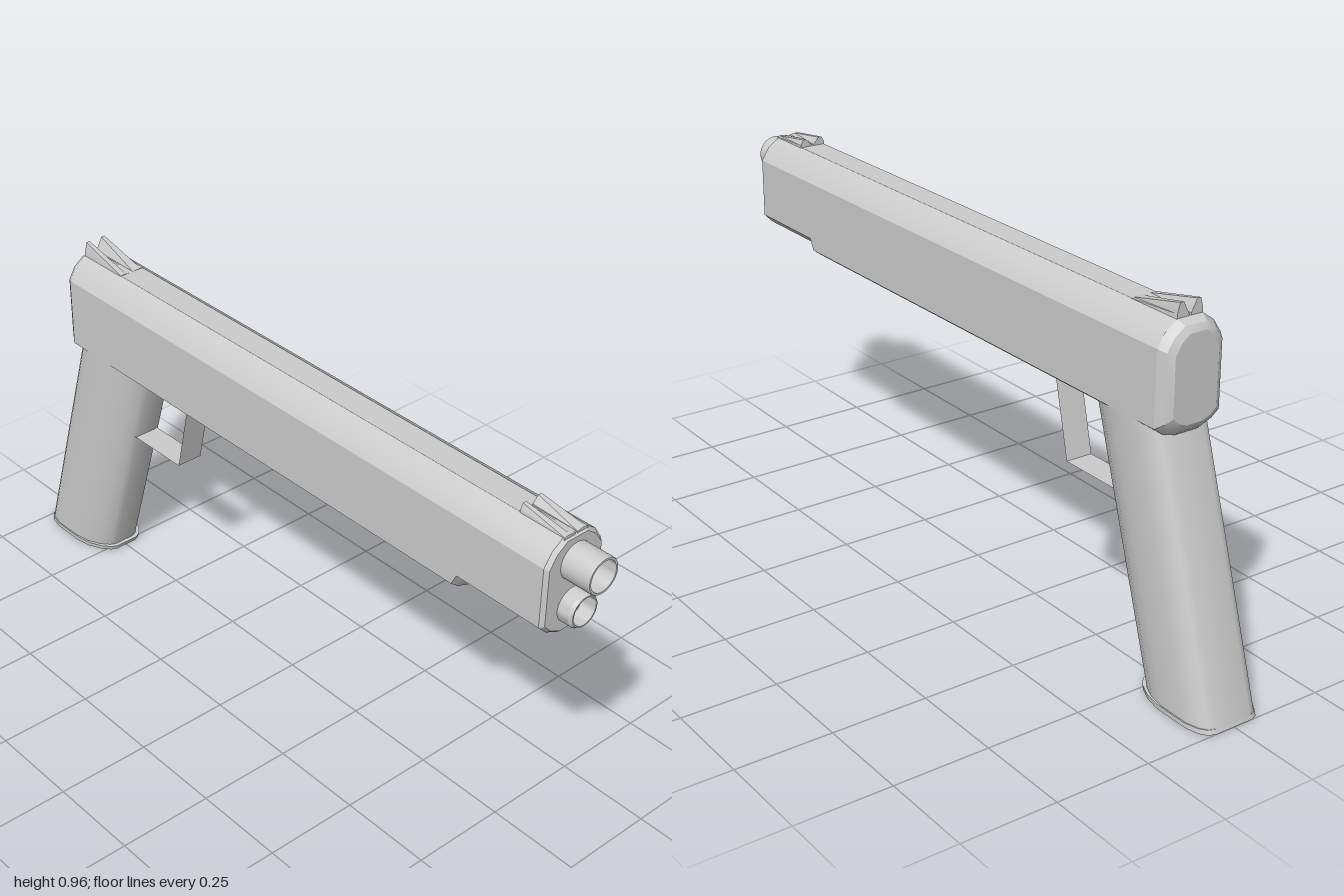
import * as THREE from 'three';
import { toCreasedNormals } from 'three/addons/utils/BufferGeometryUtils.js';

const material = new THREE.MeshStandardMaterial({ color: 0xcccccc });
const thin = new THREE.MeshStandardMaterial({ color: 0xcccccc, side: THREE.DoubleSide });

// Skin a row of equal-length convex rings (counterclockwise seen from the last one) and cap both ends.
function loft(rings, crease) {
  const n = rings[0].length, index = [];
  for (let i = 0; i < rings.length - 1; i++) {
    for (let j = 0; j < n; j++) {
      const k = (j + 1) % n, a = i * n, b = a + n;
      index.push(a + j, a + k, b + k, a + j, b + k, b + j);
    }
  }
  const last = (rings.length - 1) * n;
  for (let j = 1; j < n - 1; j++) index.push(0, j + 1, j, last, last + j, last + j + 1);
  const geometry = new THREE.BufferGeometry();
  geometry.setAttribute('position', new THREE.Float32BufferAttribute(rings.flat(2), 3));
  geometry.setIndex(index);
  return toCreasedNormals(geometry, crease);
}

// Body cross-section at x: bottom height, height of the lower side edge, inset for rounded ends.
function bodyRing(x, bottom, side, inset = 0) {
  const half = [[0.033, bottom], [0.066, bottom + (side - bottom) * 0.4], [0.09, side],
    [0.09, 0.868], [0.068, 0.902], [0.035, 0.925]];
  const s = 1 - inset / 0.09, mid = 0.79, t = 1 - inset / 0.135;
  const right = half.map(([w, y]) => [x, mid + (y - mid) * t, -w * s]);
  const left = right.map(([px, y, z]) => [px, y, -z]).reverse();
  return [...right, ...left];
}

// Grip outline at height y, leaning forward as it rises.
function gripRing(y, grow = 0) {
  const half = [[-0.13, 0.05], [-0.123, 0.068], [-0.105, 0.081], [-0.07, 0.09], [0.015, 0.09],
    [0.06, 0.081], [0.095, 0.065], [0.118, 0.045], [0.125, 0.03]];
  const cx = -0.87 + y * 0.315;
  const front = half.map(([x, z]) => [cx + x + (x > 0 ? grow * 4 : 0), y, z + grow]);
  return [...front, ...front.map(([x, py, z]) => [x, py, -z]).reverse()];
}

export function createModel() {
  const model = new THREE.Group();
  const add = (name, geometry, parent = model, mat = material) => {
    const mesh = new THREE.Mesh(geometry, mat);
    mesh.name = name;
    parent.add(mesh);
    return mesh;
  };

  // Long body, rounded at the rear and stepped up under the muzzle
  add('body', loft([
    bodyRing(-0.82, 0.655, 0.685, 0.028),
    bodyRing(-0.81, 0.655, 0.685, 0.012),
    bodyRing(-0.79, 0.65, 0.68),
    bodyRing(0.645, 0.65, 0.68),
    bodyRing(0.66, 0.67, 0.71),
    bodyRing(0.91, 0.67, 0.71),
    bodyRing(0.92, 0.67, 0.71, 0.008),
  ], 0.4));

  // Raked grip with a thin base plate
  add('grip', loft([gripRing(0.01), gripRing(0.69)], 0.6));
  add('basePlate', loft([gripRing(0, 0.003), gripRing(0.012, 0.003)], 0.6));

  // Trigger guard: one thin folded strip
  const path = [[-0.61, 0.445], [-0.418, 0.445], [-0.368, 0.66]];
  const strip = new THREE.BufferGeometry();
  strip.setAttribute('position', new THREE.Float32BufferAttribute(
    path.flatMap(([x, y]) => [x, y, 0.037, x, y, -0.037]), 3));
  strip.setIndex([0, 2, 1, 1, 2, 3, 2, 4, 3, 3, 4, 5]);
  add('triggerGuard', toCreasedNormals(strip, 0.4), model, thin);

  // Hollow muzzle tubes
  const tube = (name, y, end, outer, inner, bevel) => {
    const depth = 0.06, start = 0.9;
    const profile = [[outer, start], [outer, end - bevel], [outer - bevel * 0.6, end],
      [inner, end], [inner, end - depth], [0, end - depth]];
    const geometry = toCreasedNormals(new THREE.LatheGeometry(
      profile.map(([r, h]) => new THREE.Vector2(r, h)), 28), 0.5);
    geometry.rotateZ(-Math.PI / 2);
    add(name, geometry, model, thin).position.y = y;
  };
  tube('barrel', 0.855, 1.0, 0.047, 0.04, 0.003);
  tube('lowerTube', 0.738, 0.96, 0.045, 0.036, 0.009);

  // Sights: a mirrored pair of blades that slope down toward the muzzle
  const sight = (name, x0, x1, y0, y1) => {
    const group = new THREE.Group();
    group.name = name;
    model.add(group);
    for (const side of [-1, 1]) {
      const ring = (x, top) => {
        const pts = [[0.002, 0.915], [0.037, 0.915], [0.036, 0.925 + (top - 0.925) * 0.3],
          [0.029, top], [0.019, top], [0.003, 0.925 + (top - 0.925) * 0.15]];
        const out = pts.map(([z, y]) => [x, y, z * side]);
        return side > 0 ? out.reverse() : out;
      };
      add('sightBlade', loft([ring(x0, y0), ring(x1, y1)], 0.3), group);
    }
  };
  sight('rearSight', -0.79, -0.635, 0.961, 0.926);
  sight('frontSight', 0.785, 0.915, 0.946, 0.928);

  return model;
}
